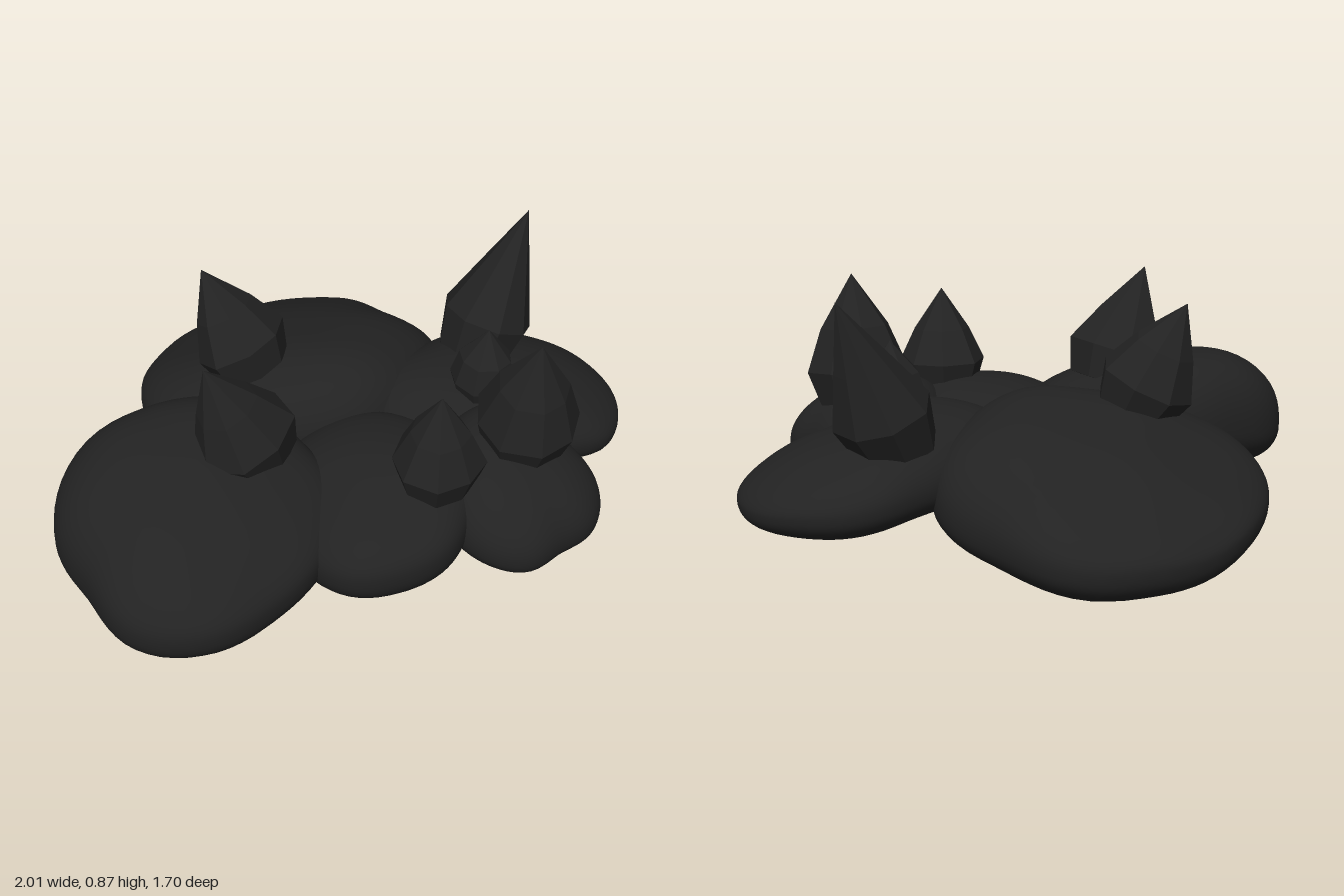
import * as THREE from 'three';
import { mergeVertices } from 'three/addons/utils/BufferGeometryUtils.js';

const stone = new THREE.MeshStandardMaterial({ color: 0x222222 });
stone.name = 'dark stone';
const crystalStone = new THREE.MeshStandardMaterial({ color: 0x222222 });
crystalStone.name = 'dark crystal';

// Smooth closed interpolation through radii spaced evenly around a circle
function radiusAt(radii, angle) {
  const n = radii.length;
  const t = ((angle / (Math.PI * 2)) * n + n) % n;
  const i = Math.floor(t), f = t - i;
  const [a, b, c, d] = [-1, 0, 1, 2].map((k) => radii[(i + k + n) % n]);
  return b + 0.5 * f * (c - a + f * (2 * a - 5 * b + 4 * c - d + f * (3 * (b - c) + d - a)));
}

// Rounded boulder: plan outline, tilted rim, separate upper and lower bulge
function boulder({ name, at, radii, up, down, slope, grow, topPower = 0.85 }) {
  let geo = new THREE.IcosahedronGeometry(1, 11);
  geo.deleteAttribute('uv');
  geo.deleteAttribute('normal');
  geo = mergeVertices(geo, 1e-4);
  const p = geo.attributes.position;
  for (let i = 0; i < p.count; i++) {
    const x = p.getX(i), y = p.getY(i), z = p.getZ(i);
    const r = radiusAt(radii, Math.atan2(z, x));
    const dx = x * r, dz = z * r;
    const rim = slope[0] * dx + slope[1] * dz;
    const bulge = y > 0
      ? y ** topPower * up * (1 + grow[0] * dx + grow[1] * dz)
      : -(Math.abs(y) ** 0.82) * down;
    const lump = 0.006 * Math.sin(13 * (dx + at[0])) * Math.cos(11 * (dz + at[2]));
    p.setXYZ(i, dx, rim + bulge + lump, dz);
  }
  geo.computeVertexNormals();
  const mesh = new THREE.Mesh(geo, stone);
  mesh.name = name;
  mesh.position.set(...at);
  return mesh;
}

// Faceted spike standing on its base and leaning to its tip
function crystal({ name, base, tip, r, turn, mid = 0.6 }) {
  const from = new THREE.Vector3(...base);
  const axis = new THREE.Vector3(...tip).sub(from);
  const h = axis.length();
  const profile = [[0.001, 0], [0.8, 0.02], [1, 0.28], [mid, 0.6], [0, 1]]
    .map(([a, b]) => new THREE.Vector2(a * r, b * h));
  const lathe = new THREE.LatheGeometry(profile, 8, turn);
  const p = lathe.attributes.position;
  for (let i = 0; i < p.count; i++) {
    const x = p.getX(i), y = p.getY(i), z = p.getZ(i);
    const k = 1 + 0.05 * Math.sin(3 * Math.atan2(z, x) + turn);
    p.setXYZ(i, x * k, y, z * k);
  }
  const geo = lathe.toNonIndexed();
  geo.computeVertexNormals();
  const mesh = new THREE.Mesh(geo, crystalStone);
  mesh.name = name;
  mesh.position.copy(from);
  mesh.quaternion.setFromUnitVectors(new THREE.Vector3(0, 1, 0), axis.normalize());
  return mesh;
}

export function createModel() {
  const model = new THREE.Group();
  model.name = 'crystalRocks';

  // Boulders: radii run from +x towards +z
  const boulders = [
    { name: 'backBoulder', at: [0.08, 0.21, -0.36], up: 0.235, down: 0.195, slope: [-0.04, 0.09], grow: [0.1, 1.0], topPower: 0.9,
      radii: [0.51, 0.56, 0.54, 0.51, 0.46, 0.46, 0.53, 0.52, 0.49, 0.49, 0.52, 0.54] },
    { name: 'rightBoulder', at: [-0.58, 0.215, 0.1], up: 0.255, down: 0.205, slope: [0.12, -0.07], grow: [0, -0.9],
      radii: [0.42, 0.45, 0.44, 0.43, 0.47, 0.47, 0.42, 0.46, 0.47, 0.42, 0.42, 0.43] },
    { name: 'frontMiddleBoulder', at: [-0.06, 0.23, 0.42], up: 0.18, down: 0.18, slope: [0.1, 0.03], grow: [0.3, -0.5],
      radii: [0.3, 0.28, 0.27, 0.29, 0.31, 0.35, 0.35, 0.36, 0.41, 0.42, 0.39, 0.34] },
    { name: 'frontBoulder', at: [0.3, 0.23, 0.6], up: 0.2, down: 0.13, slope: [0, -0.16], grow: [0, -0.7], topPower: 0.95,
      radii: [0.27, 0.29, 0.28, 0.25, 0.28, 0.28, 0.27, 0.27, 0.28, 0.3, 0.32, 0.3] },
    { name: 'leftBoulder', at: [0.6, 0.24, 0.22], up: 0.175, down: 0.14, slope: [-0.07, -0.08], grow: [-0.8, -0.2], topPower: 1,
      radii: [0.4, 0.41, 0.39, 0.32, 0.38, 0.45, 0.5, 0.48, 0.37, 0.33, 0.35, 0.37] },
  ];
  boulders.forEach((b) => model.add(boulder(b)));

  // Crystals growing from the boulders
  const crystals = [
    { name: 'rightCrystal', base: [-0.35, 0.38, 0.09], tip: [-0.52, 0.78, 0.08], r: 0.17, turn: 0.2 },
    { name: 'backCrystal', base: [-0.13, 0.42, -0.25], tip: [-0.23, 0.78, -0.39], r: 0.16, turn: 0.5, mid: 0.64 },
    { name: 'frontMiddleCrystal', base: [0.04, 0.36, 0.52], tip: [0.03, 0.71, 0.54], r: 0.148, turn: 0.1, mid: 0.64 },
    { name: 'frontCrystal', base: [0.38, 0.36, 0.54], tip: [0.36, 0.8, 0.61], r: 0.17, turn: 0.35, mid: 0.68 },
    { name: 'smallCrystal', base: [0.43, 0.38, 0.28], tip: [0.44, 0.645, 0.29], r: 0.11, turn: 0.6, mid: 0.8 },
    { name: 'leftCrystal', base: [0.57, 0.36, 0.07], tip: [0.79, 0.87, 0.07], r: 0.16, turn: 0.3, mid: 0.56 },
  ];
  crystals.forEach((c) => model.add(crystal(c)));

  return model;
}
